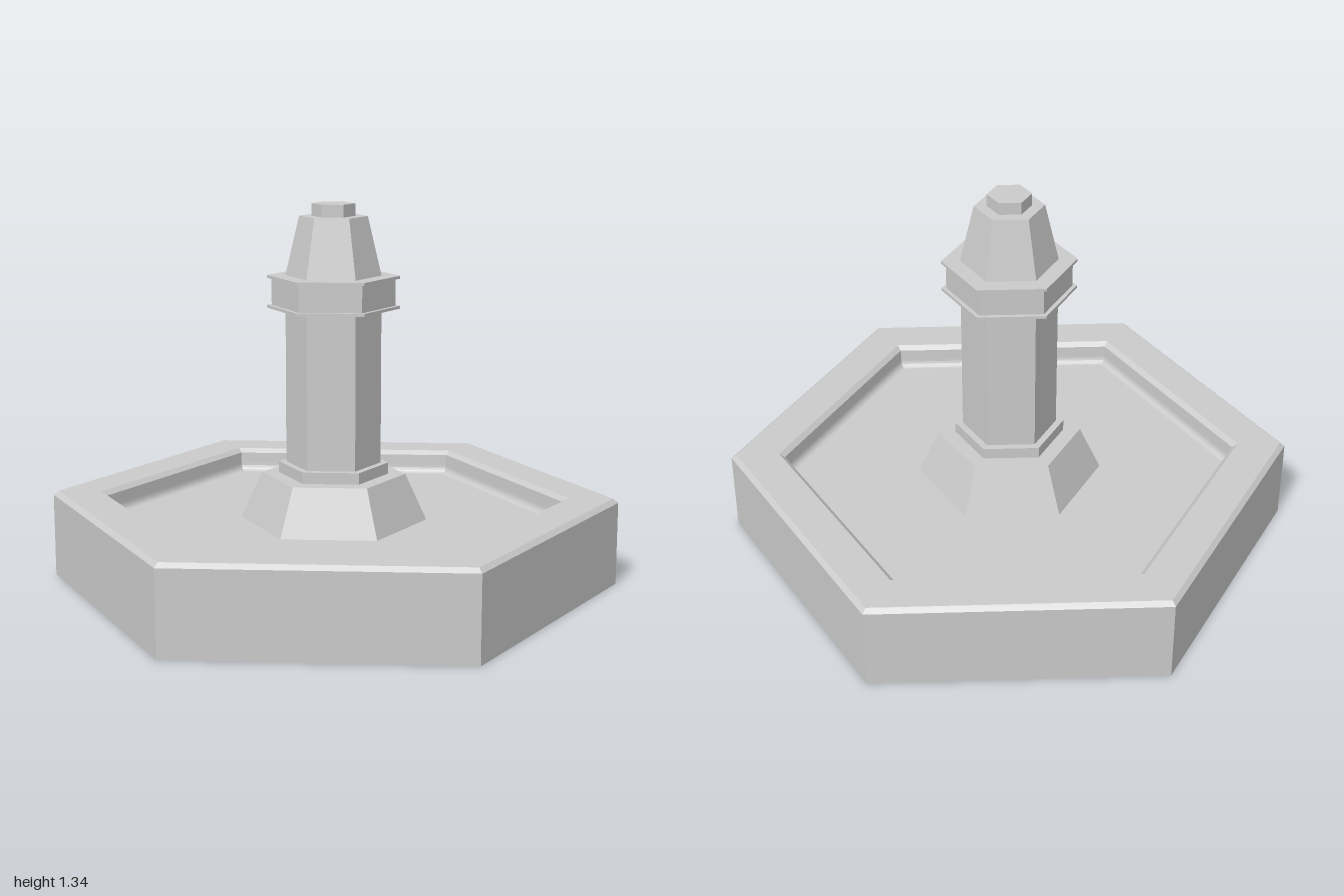
import * as THREE from 'three';

const material = new THREE.MeshStandardMaterial({ color: 0xcccccc, flatShading: true });

// Six-sided solid turned from a [radius, height] profile, corners on the x axis
function hexTurned(name, profile) {
  const points = profile.map(([r, y]) => new THREE.Vector2(r, y));
  const mesh = new THREE.Mesh(new THREE.LatheGeometry(points, 6, Math.PI / 2), material);
  mesh.name = name;
  return mesh;
}

// Six-sided frustum between two heights
function hexPart(name, y0, y1, r0, r1 = r0) {
  return hexTurned(name, [[0, y0], [r0, y0], [r1, y1], [0, y1]]);
}

export function createModel() {
  const model = new THREE.Group();
  model.name = 'hexagonalFountain';

  // Basin: chamfered outer rim, recessed floor with a rounded cove at the wall
  const floorY = 0.225;
  const cove = [];
  for (let i = 0; i <= 5; i++) {
    const a = (i / 5) * Math.PI / 2;
    cove.push([0.78 + 0.025 * Math.cos(a), floorY + 0.03 * (1 - Math.sin(a))]);
  }
  model.add(hexTurned('basin', [
    [0, 0], [1, 0], [1, 0.295], [0.982, 0.31],
    [0.828, 0.31], [0.808, 0.295], ...cove, [0, floorY],
  ]));

  // Pedestal, plinth and column
  model.add(hexPart('pedestal', floorY, 0.39, 0.328, 0.253));
  model.add(hexPart('plinth', 0.39, 0.43, 0.193));
  model.add(hexPart('column', 0.43, 0.976, 0.166));

  // Collar with a thin flange at each end
  model.add(hexPart('collar', 0.985, 1.08, 0.214));
  for (const [name, y] of [['lowerFlange', 0.976], ['upperFlange', 1.08]]) {
    model.add(hexPart(name, y, y + 0.01, 0.23));
  }

  // Tapered cap and finial
  model.add(hexPart('cap', 1.09, 1.295, 0.166, 0.118));
  model.add(hexPart('finial', 1.295, 1.338, 0.075));

  return model;
}
